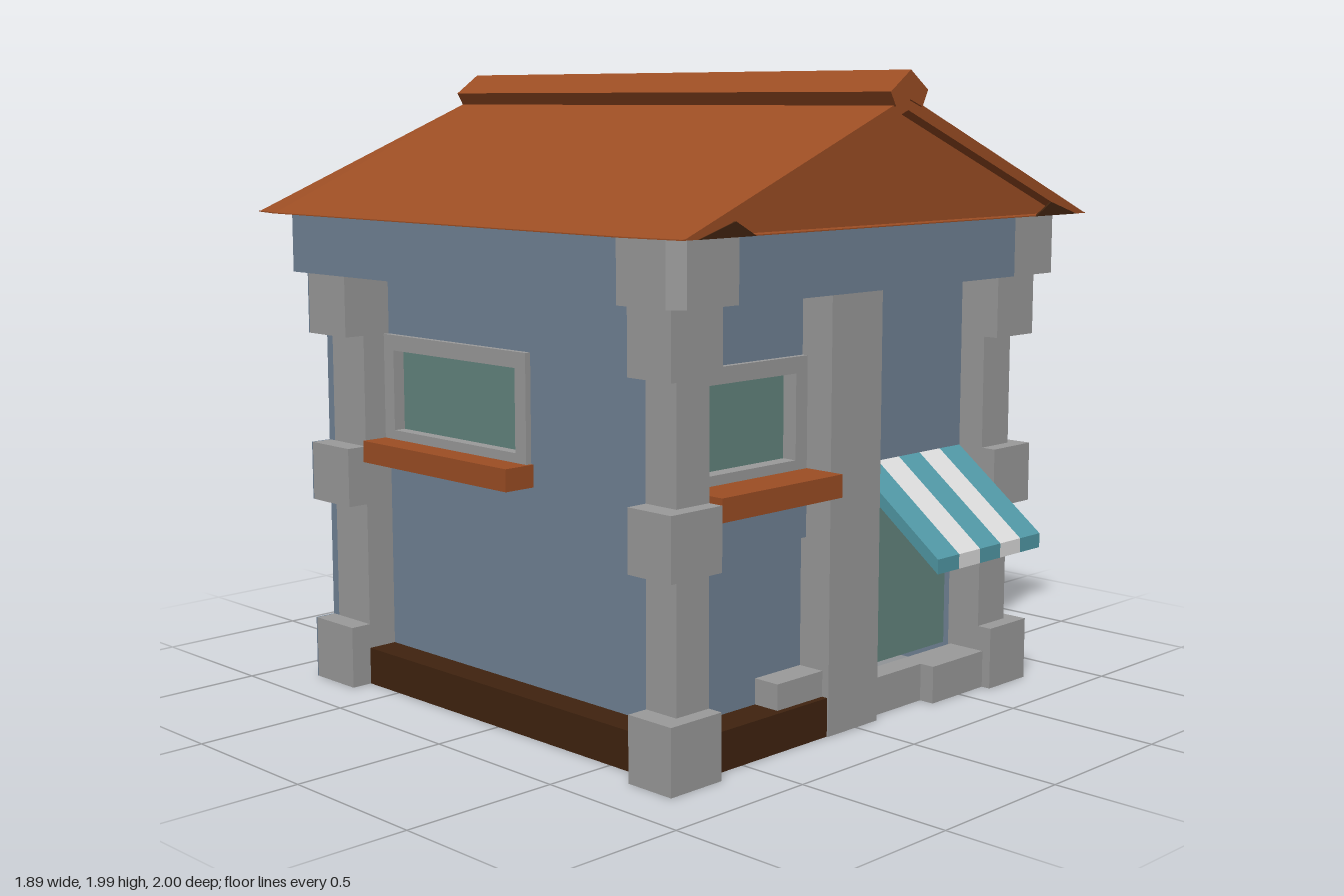
import * as THREE from 'three';

const mat = (name, color, double = false) => {
  const m = new THREE.MeshStandardMaterial({ color, side: double ? THREE.DoubleSide : THREE.FrontSide });
  m.name = name;
  return m;
};

export function createModel() {
  const house = new THREE.Group();
  house.name = 'cornerShop';
  const blue = mat('blueWall', 0x718396);
  const grey = mat('greyStone', 0x9b9b9b);
  const tile = mat('orangeTile', 0x9d4e24, true);
  const brown = mat('darkBrown', 0x40230f, true);
  const glass = mat('greenGlass', 0x64867f);
  const teal = mat('tealCloth', 0x5199a6);
  const white = mat('whiteCloth', 0xdddddd);

  const add = (name, geometry, material) => {
    const mesh = new THREE.Mesh(geometry, material);
    mesh.name = name;
    house.add(mesh);
    return mesh;
  };
  // box given by its two extreme corners
  const box = (name, m, x0, x1, y0, y1, z0, z1) => {
    const g = new THREE.BoxGeometry(x1 - x0, y1 - y0, z1 - z0);
    g.translate((x0 + x1) / 2, (y0 + y1) / 2, (z0 + z1) / 2);
    return add(name, g, m);
  };
  const shapeOf = (pts) => new THREE.Shape(pts.map((p) => new THREE.Vector2(p[0], p[1])));
  // outline in x/y pushed along z
  const prismZ = (name, m, pts, z0, z1) => {
    const g = new THREE.ExtrudeGeometry(shapeOf(pts), { depth: z1 - z0, bevelEnabled: false });
    return add(name, g.translate(0, 0, z0), m);
  };
  // plan outline in x/z pushed up along y
  const prismY = (name, m, pts, y0, y1) => {
    const g = new THREE.ExtrudeGeometry(shapeOf(pts.map(([x, z]) => [x, -z])), { depth: y1 - y0, bevelEnabled: false });
    return add(name, g.rotateX(-Math.PI / 2).translate(0, y0, 0), m);
  };

  // plain back and side walls
  box('backWall', blue, -0.77, 0.76, 0, 1.35, -0.85, -0.82);
  box('leftWall', blue, 0.73, 0.76, 0, 1.35, -0.82, 0.65);

  // corner pillars with proud quoin blocks
  const quoins = [[0, 0.2], [0.6, 0.79], [1.15, 1.35]];
  const pillar = (name, x0, x1, qx0, qx1, z0, z1, qz0, qz1) => {
    box(name, grey, x0, x1, 0, 1.35, z0, z1);
    for (const [y0, y1] of quoins) box(name + 'Block', grey, qx0, qx1, y0, y1, qz0, qz1);
  };
  pillar('frontLeftPillar', 0.62, 0.76, 0.62, 0.81, 0.65, 0.77, 0.65, 0.82);
  pillar('frontRightPillar', -0.77, -0.64, -0.84, -0.64, 0.65, 0.77, 0.65, 0.82);
  pillar('backRightPillar', -0.77, -0.64, -0.84, -0.64, -0.82, -0.65, -0.845, -0.65);
  for (const [y0, y1] of quoins) box('blockBackFace', blue, -0.84, -0.77, y0, y1, -0.85, -0.845);
  box('centrePillar', grey, -0.13, 0.1, 0, 1.35, 0.65, 0.775);

  // front bay with window
  box('frontPlinth', brown, -0.64, -0.13, 0, 0.12, 0.65, 0.77);
  box('doorStep', grey, -0.33, -0.13, 0.12, 0.2, 0.65, 0.75);
  box('frontLowerWall', blue, -0.64, -0.13, 0.12, 0.6, 0.63, 0.66);
  box('frontMiddleWall', blue, -0.64, -0.13, 0.6, 0.74, 0.63, 0.68);
  box('frontUpperWall', blue, -0.64, -0.13, 1.15, 1.35, 0.63, 0.66);
  box('frontSill', tile, -0.64, -0.13, 0.74, 0.81, 0.63, 0.82);
  box('frontPane', glass, -0.59, -0.18, 0.84, 1.1, 0.62, 0.63);
  box('frontFrameTop', grey, -0.64, -0.13, 1.1, 1.15, 0.61, 0.68);
  box('frontFrameBottom', grey, -0.64, -0.13, 0.81, 0.84, 0.61, 0.68);
  for (const x of [-0.64, -0.18]) box('frontFrameSide', grey, x, x + 0.05, 0.84, 1.1, 0.61, 0.68);

  // side bay with window
  box('sidePlinth', brown, -0.77, -0.66, 0, 0.12, -0.65, 0.65);
  box('sideLowerWall', blue, -0.67, -0.64, 0.12, 0.74, -0.65, 0.65);
  box('sideUpperWall', blue, -0.67, -0.64, 1.15, 1.35, -0.65, 0.65);
  box('sideFarWall', blue, -0.67, -0.64, 0.74, 1.15, 0.05, 0.65);
  box('sideSill', tile, -0.78, -0.64, 0.74, 0.81, -0.65, 0.06);
  box('sidePane', glass, -0.65, -0.64, 0.84, 1.1, -0.6, 0);
  box('sideFrameTop', grey, -0.69, -0.63, 1.1, 1.15, -0.65, 0.05);
  box('sideFrameBottom', grey, -0.69, -0.63, 0.81, 0.84, -0.65, 0.05);
  for (const z of [-0.65, 0]) box('sideFrameUpright', grey, -0.69, -0.63, 0.84, 1.1, z, z + 0.05);

  // shop bay: curb, display glass and wall above
  box('curb', grey, 0.1, 0.36, 0, 0.12, 0.66, 0.74);
  box('curbBlock', grey, 0.36, 0.62, 0, 0.12, 0.66, 0.79);
  box('shopGlass', glass, 0.1, 0.62, 0.12, 0.79, 0.62, 0.63);
  box('shopUpperWall', blue, 0.1, 0.62, 0.76, 1.35, 0.63, 0.68);

  // striped awning
  const stripe = 0.104;
  for (let i = 0; i < 5; i++) {
    const g = new THREE.ExtrudeGeometry(
      shapeOf([[-0.68, 0.79], [-1, 0.545], [-1, 0.5], [-0.68, 0.745]]),
      { depth: stripe, bevelEnabled: false });
    g.rotateY(Math.PI / 2).translate(0.1 + i * stripe, 0, 0);
    add('awningStripe', g, i % 2 ? white : teal);
  }

  // cornice band with chamfered stone corners
  prismY('cornice', blue, [[-0.64, 0.88], [0.62, 0.88], [0.62, 0.65], [0.865, 0.65], [0.83, -0.92],
    [-0.84, -0.92], [-0.88, -0.87], [-0.88, 0.65], [-0.64, 0.65]], 1.35, 1.54);
  prismY('corniceCornerLeft', grey, [[0.62, 0.88], [0.82, 0.88], [0.87, 0.83], [0.87, 0.65], [0.62, 0.65]], 1.35, 1.54);
  prismY('corniceCornerRight', grey, [[-0.64, 0.88], [-0.64, 0.65], [-0.88, 0.65], [-0.88, 0.84], [-0.84, 0.88]], 1.35, 1.54);

  // roof slopes as fans from the ridge to each eave line
  const eaveY = 1.54, ridgeY = 1.91, back = -1, front = 0.94;
  const slope = (name, eave) => {
    const pts = [[0, ridgeY, front], ...eave.map(([x, z]) => [x, eaveY, z]), [0, ridgeY, back]];
    const tri = [];
    const n = pts.length;
    // long middle panel first, then the corner facets
    for (let i = 1; i < n - 1; i++) tri.push(...pts[0], ...pts[i], ...pts[i + 1]);
    const g = new THREE.BufferGeometry();
    g.setAttribute('position', new THREE.Float32BufferAttribute(tri, 3));
    g.computeVertexNormals();
    add(name, g, tile);
  };
  const leftEave = [[0.915, front], [0.945, 0.73], [0.895, back]];
  const rightEave = [[-0.92, back], [-0.95, -0.87], [-0.95, 0.73], [-0.92, front]];
  slope('roofLeft', leftEave);
  const flipped = [...rightEave].reverse();
  // the right slope runs the other way round so its normals point up
  const rp = [[0, ridgeY, back], ...flipped.slice().reverse().map(([x, z]) => [x, eaveY, z]), [0, ridgeY, front]];
  const rt = [];
  for (let i = 1; i < rp.length - 1; i++) rt.push(...rp[0], ...rp[i], ...rp[i + 1]);
  const rg = new THREE.BufferGeometry();
  rg.setAttribute('position', new THREE.Float32BufferAttribute(rt, 3));
  rg.computeVertexNormals();
  add('roofRight', rg, tile);
  prismY('roofSoffit', tile, [...leftEave, ...rightEave], eaveY, eaveY + 0.003);

  // gables and front verge boards
  prismZ('backGable', brown, [[-0.92, eaveY], [0.895, eaveY], [0, ridgeY]], back, back + 0.008);
  prismZ('frontGable', tile, [[-0.84, eaveY], [0.84, eaveY], [0, ridgeY - 0.02]], 0.88, 0.888);
  for (const s of [-1, 1]) {
    prismZ('vergeBoard', tile, [[0, ridgeY], [s * 0.915, eaveY], [s * 0.83, eaveY], [0, ridgeY - 0.04]], 0.89, front);
    prismZ('gableFoot', brown, [[s * 0.86, eaveY], [s * 0.64, eaveY], [s * 0.72, eaveY + 0.042]], front - 0.003, front + 0.004);
  }

  // ridge cap
  prismZ('ridgeCap', tile, [[0, 1.985], [-0.09, 1.922], [-0.065, 1.88], [0, 1.9], [0.055, 1.88], [0.08, 1.928]], back, 0.948);
  return house;
}
